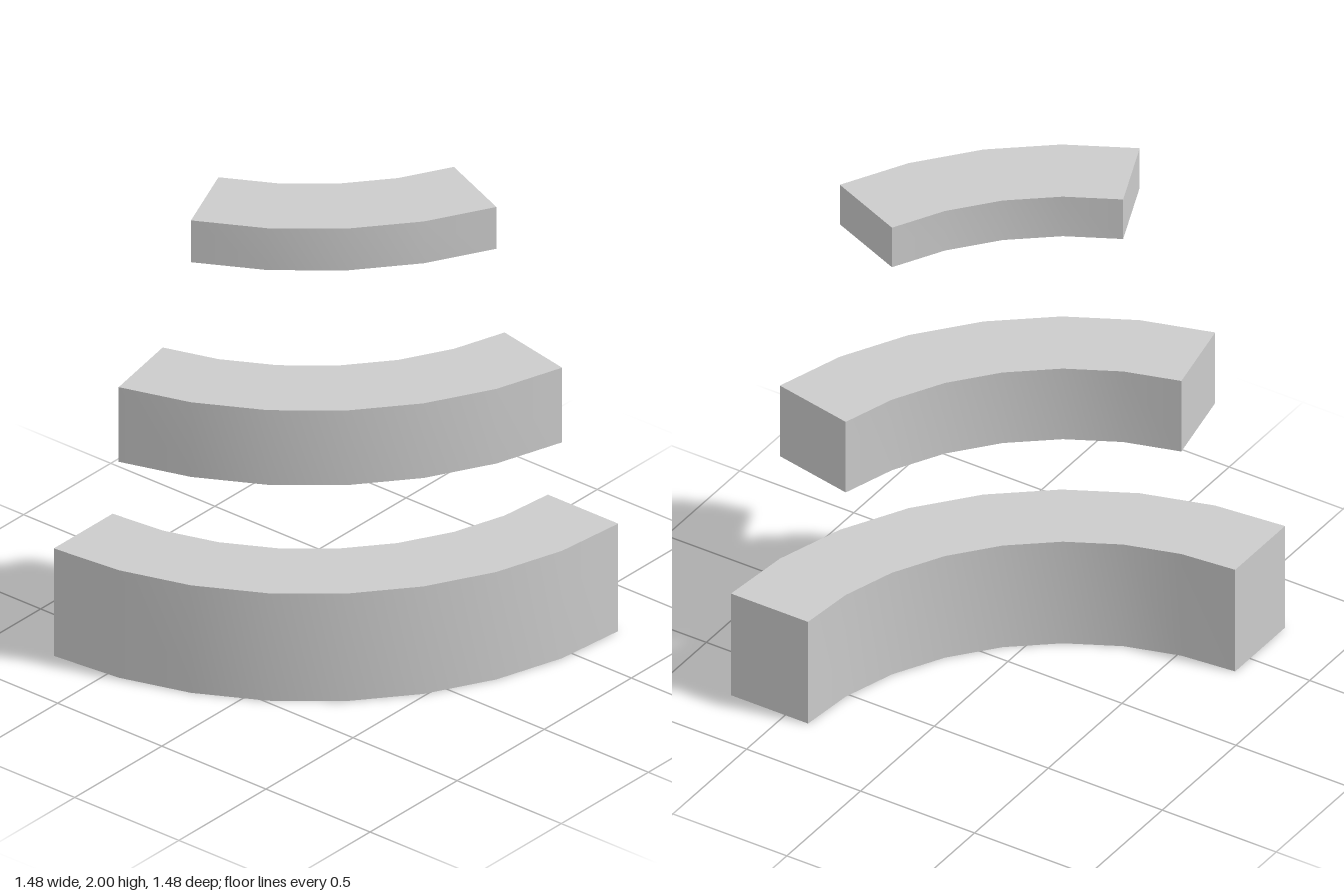
import * as THREE from 'three';
import { toCreasedNormals } from 'three/addons/utils/BufferGeometryUtils.js';

const CENTER = 0.738;   // the arc centre sits at (CENTER, -CENTER) in x, z
const OUTER = 1.476;
const INNER = 1.138;
const STEP = Math.PI / 16; // eight segments per quarter turn

// Curved block spanning arc steps first..last between heights y0 and y1
function arcBlock(name, first, last, y0, y1, material) {
  const point = (r, i) => new THREE.Vector2(
    CENTER - r * Math.cos(i * STEP),
    CENTER - r * Math.sin(i * STEP)
  );
  const outline = [];
  for (let i = first; i <= last; i++) outline.push(point(OUTER, i));
  for (let i = last; i >= first; i--) outline.push(point(INNER, i));

  const extruded = new THREE.ExtrudeGeometry(new THREE.Shape(outline), {
    depth: y1 - y0, bevelEnabled: false, steps: 1,
  });
  extruded.rotateX(-Math.PI / 2);
  extruded.translate(0, y0, 0);

  // Smooth curved walls, sharp rims and ends
  const mesh = new THREE.Mesh(toCreasedNormals(extruded, Math.PI / 6), material);
  mesh.name = name;
  return mesh;
}

export function createModel() {
  const group = new THREE.Group();
  group.name = 'stackedArcs';
  const material = new THREE.MeshStandardMaterial({ color: 0xcccccc });

  // Three separate arcs, each shorter and thinner than the one below
  group.add(
    arcBlock('lowerArc', 0, 8, 0, 0.455, material),
    arcBlock('middleArc', 1, 7, 0.914, 1.23, material),
    arcBlock('upperArc', 2, 6, 1.823, 2, material)
  );
  return group;
}
